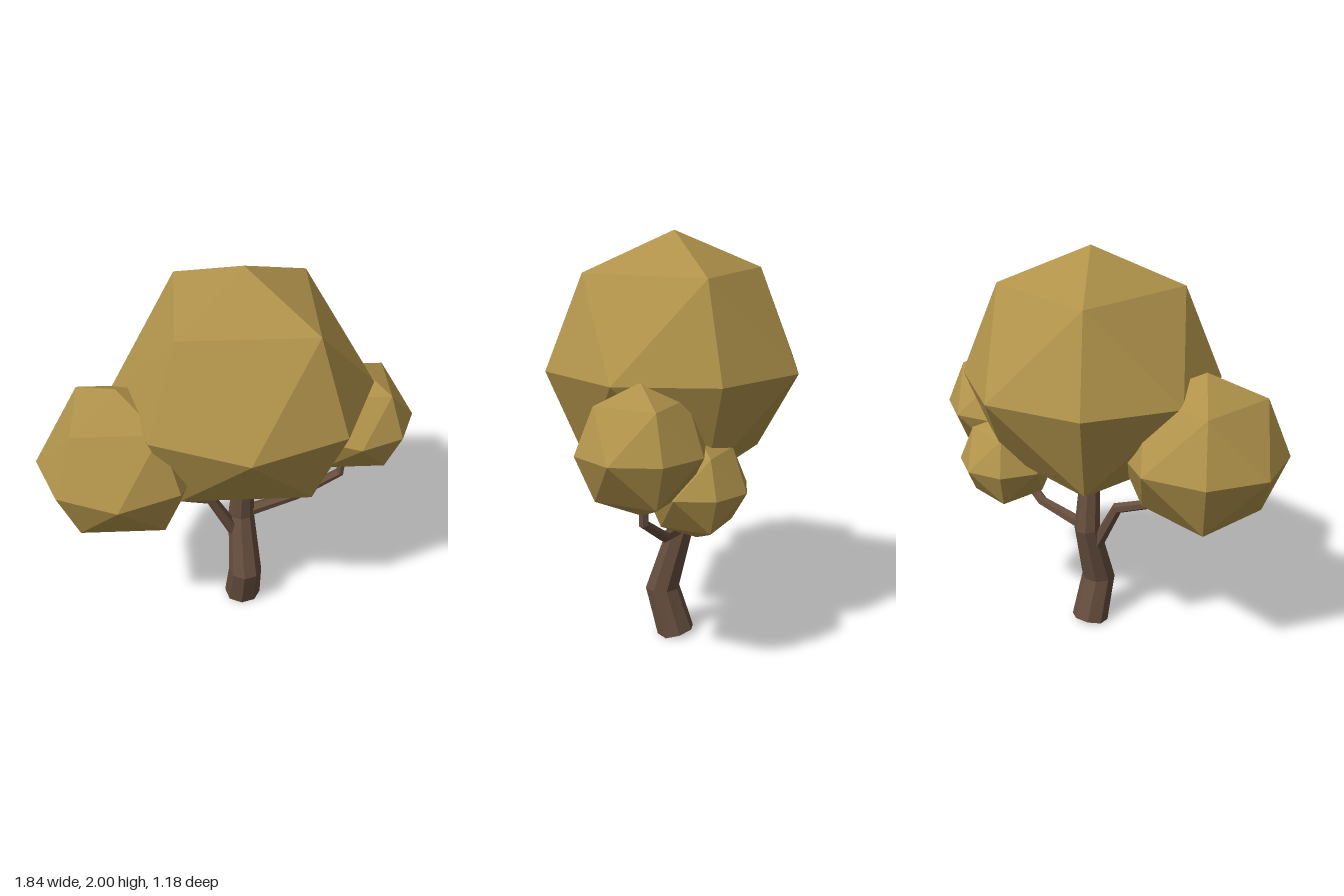
import * as THREE from 'three';

const bark = new THREE.MeshStandardMaterial({ color: 0x664e3e, flatShading: true });
const leaf = new THREE.MeshStandardMaterial({ color: 0xb0924a, flatShading: true });

// Faceted limb: rings of given radius set square to a bent path, with closed ends
function limb(name, path, sides) {
  const pts = path.map(([x, y, z]) => new THREE.Vector3(x, y, z));
  const last = pts.length - 1;
  const pos = [], idx = [];
  pts.forEach((p, i) => {
    const before = p.clone().sub(pts[Math.max(i - 1, 0)]).normalize();
    const after = pts[Math.min(i + 1, last)].clone().sub(p).normalize();
    const dir = before.add(after).normalize();
    const turn = new THREE.Quaternion().setFromUnitVectors(new THREE.Vector3(0, 1, 0), dir);
    for (let s = 0; s < sides; s++) {
      const a = ((s + 0.5) / sides) * Math.PI * 2;
      const v = new THREE.Vector3(Math.sin(a), 0, Math.cos(a));
      v.multiplyScalar(path[i][3]).applyQuaternion(turn).add(p);
      pos.push(v.x, Math.max(v.y, 0), v.z);
    }
  });
  for (let i = 0; i < last; i++) {
    for (let s = 0; s < sides; s++) {
      const a = i * sides + s, b = i * sides + ((s + 1) % sides);
      idx.push(a, b, b + sides, a, b + sides, a + sides);
    }
  }
  const top = last * sides;
  for (let s = 1; s < sides - 1; s++) {
    idx.push(0, s + 1, s, top, top + s, top + s + 1);
  }
  const geo = new THREE.BufferGeometry();
  geo.setAttribute('position', new THREE.Float32BufferAttribute(pos, 3));
  geo.setIndex(idx);
  geo.computeVertexNormals();
  const mesh = new THREE.Mesh(geo, bark);
  mesh.name = name;
  return mesh;
}

// Leaf clump: once-subdivided octahedron, all turned the same way
function clump(name, radius, x, y, z) {
  const mesh = new THREE.Mesh(new THREE.OctahedronGeometry(radius, 1), leaf);
  mesh.position.set(x, y, z);
  mesh.rotation.y = 0.478;
  mesh.name = name;
  return mesh;
}

export function createModel() {
  const tree = new THREE.Group();
  tree.name = 'tree';

  // Trunk and branches: each point is x, y, z, radius
  tree.add(
    limb('trunk', [
      [0.082, 0.005, -0.007, 0.095],
      [0.07, 0.24, 0.06, 0.086],
      [0.08, 0.56, -0.032, 0.066],
      [0.08, 0.95, 0.01, 0.045],
    ], 8),
    limb('rightBranch', [
      [0.06, 0.42, -0.01, 0.036],
      [-0.09, 0.71, -0.02, 0.029],
      [-0.4, 0.83, -0.02, 0.022],
    ], 6),
    limb('leftBranch', [
      [0.08, 0.56, -0.03, 0.034],
      [0.375, 0.618, 0, 0.027],
      [0.59, 0.755, 0.06, 0.024],
      [0.605, 0.92, 0.06, 0.019],
    ], 6),
  );

  // Foliage
  tree.add(
    clump('crown', 0.62, 0.07, 1.38, 0),
    clump('rightClump', 0.396, -0.54, 1.105, -0.005),
    clump('leftClump', 0.295, 0.638, 1.105, 0.06),
    clump('backClump', 0.24, 0.47, 0.9, -0.16),
  );
  return tree;
}
